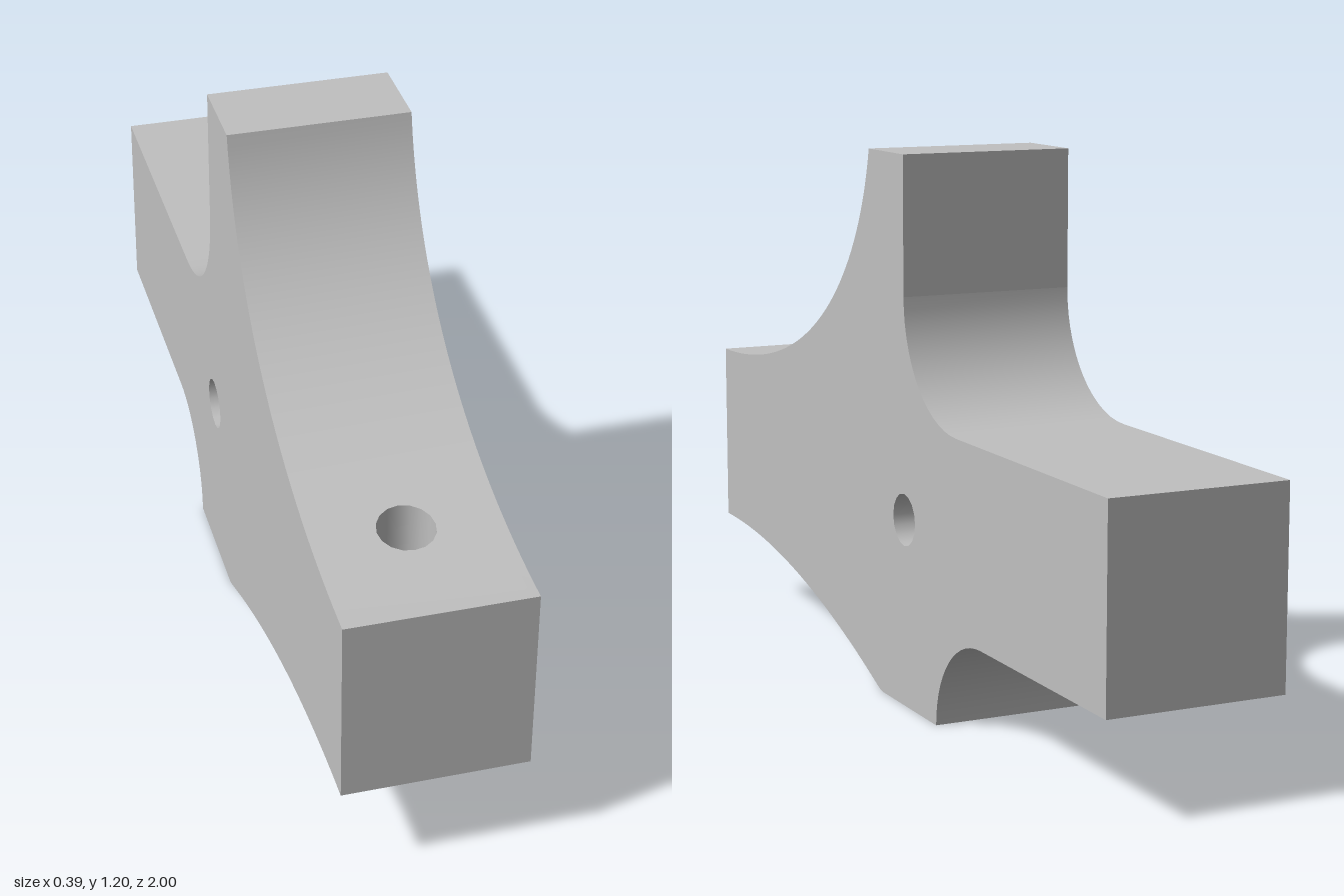
import * as THREE from 'three';

const W = 0.195;                                   // half thickness
const SIDE_HOLE = { z: -0.088, y: 0.413, r: 0.057 };
const BOLT_HOLE = { z: 0.757, r: 0.06 };
const SIDES = 16;

const v2 = (z, y) => new THREE.Vector2(z, y);
const circle = (cx, cy, r) => Array.from({ length: SIDES }, (_, i) => {
  const a = (i / SIDES) * Math.PI * 2;
  return v2(cx + r * Math.cos(a), cy + r * Math.sin(a));
});
const arc = (cz, cy, rz, ry, a0, a1) => Array.from({ length: 15 }, (_, i) => {
  const a = THREE.MathUtils.degToRad(a0 + ((a1 - a0) * i) / 14);
  return v2(cz + rz * Math.cos(a), cy + ry * Math.sin(a));
});

// Turn a surface inside out
function flip(geo) {
  const idx = geo.index.array, n = geo.attributes.normal.array;
  for (let i = 0; i < idx.length; i += 3) [idx[i], idx[i + 1]] = [idx[i + 1], idx[i]];
  for (let i = 0; i < n.length; i++) n[i] = -n[i];
  return geo;
}

// Height (and slope) of a (z, y) polyline at a given z
function sample(line, z) {
  for (let i = 0; i < line.length - 1; i++) {
    const a = line[i], b = line[i + 1];
    const t = (z - a.x) / (b.x - a.x);
    if ((t >= -1e-6 && t <= 1 + 1e-6) || i === line.length - 2)
      return { y: a.y + (b.y - a.y) * t, slope: (b.y - a.y) / (b.x - a.x) };
  }
}

// Strip spanning the thickness along one smooth run of the outline
function strip(run) {
  const geo = new THREE.PlaneGeometry(1, 1, 1, run.length - 1);
  const pos = geo.attributes.position;
  run.forEach((p, i) => {
    pos.setXYZ(2 * i, W, p.y, p.x);
    pos.setXYZ(2 * i + 1, -W, p.y, p.x);
  });
  geo.computeVertexNormals();
  return geo;
}

// Curved panel pierced by the bolt hole, following a (z, y) polyline
function piercedPanel(line) {
  const outline = [...line.map(p => v2(W, -p.x)), ...line.map(p => v2(-W, -p.x)).reverse()];
  const shape = new THREE.Shape(outline);
  shape.holes.push(new THREE.Path(circle(0, -BOLT_HOLE.z, BOLT_HOLE.r)));
  const geo = new THREE.ShapeGeometry(shape);
  const pos = geo.attributes.position, nor = geo.attributes.normal;
  for (let i = 0; i < pos.count; i++) {
    const z = -pos.getY(i), s = sample(line, z);
    const n = new THREE.Vector3(0, 1, -s.slope).normalize();
    pos.setXYZ(i, pos.getX(i), s.y, z);
    nor.setXYZ(i, n.x, n.y, n.z);
  }
  return geo;
}

export function createModel() {
  const group = new THREE.Group();
  const grey = new THREE.MeshStandardMaterial({ color: 0xc0c0c0 });
  grey.name = 'plain grey';
  const add = (name, geo) => {
    const mesh = new THREE.Mesh(geo, grey);
    mesh.name = name;
    group.add(mesh);
    return mesh;
  };

  // Large sweeping curves above and below the front arm, both from z = 1 inward
  const topCurve = new THREE.CubicBezierCurve(
    v2(1, 0.634), v2(0.5, 0.634), v2(0.16, 0.855), v2(0.09, 1.195)).getPoints(40);
  const underCurve = new THREE.QuadraticBezierCurve(
    v2(1, 0.215), v2(0.55, 0.215), v2(0.06, 0.008)).getPoints(30);
  const topSplit = topCurve.findIndex(p => p.x < 0.67);
  const underSplit = underCurve.findIndex(p => p.x < 0.67);
  const topPanel = topCurve.slice(0, topSplit + 1);
  const underPanel = underCurve.slice(0, underSplit + 1);

  // Outline runs, anticlockwise in (z, y)
  const runs = [
    ['frontEnd', [v2(1, 0.215), v2(1, 0.634)]],
    ['frontArmTop', topPanel, true],
    ['frontSweep', topCurve.slice(topSplit)],
    ['postTop', [v2(0.09, 1.195), v2(-0.09, 1.195)]],
    ['postBack', [v2(-0.09, 1.195), v2(-0.09, 0.894)]],
    ['backFillet', arc(-0.35, 0.894, 0.26, 0.26, 0, -90)],
    ['backArmTop', [v2(-0.35, 0.634), v2(-1, 0.634)]],
    ['backEnd', [v2(-1, 0.634), v2(-1, 0.215)]],
    ['backArmUnderside', [v2(-1, 0.215), v2(-0.465, 0.215)]],
    ['underFillet', arc(-0.465, 0, 0.215, 0.215, 90, 0)],
    ['foot', [v2(-0.25, 0), v2(0.025, 0)]],
    ['footCorner', [v2(0.025, 0), v2(0.043, 0.002), v2(0.06, 0.008)]],
    ['underSweep', underCurve.slice(underSplit).reverse()],
    ['frontArmUnderside', underPanel.slice().reverse(), true],
  ];
  for (const [name, run, pierced] of runs) if (!pierced) add(name, strip(run));
  add('frontArmTop', piercedPanel(topPanel));
  add('frontArmUnderside', flip(piercedPanel(underPanel)));

  // Flat side faces with the cross hole
  const outline = runs.flatMap(([, run]) => run.slice(0, -1));
  const makeSide = () => {
    const shape = new THREE.Shape(outline);
    shape.holes.push(new THREE.Path(circle(SIDE_HOLE.z, SIDE_HOLE.y, SIDE_HOLE.r)));
    return new THREE.ShapeGeometry(shape).rotateY(-Math.PI / 2);
  };
  add('rightSide', makeSide().translate(-W, 0, 0));
  add('leftSide', flip(makeSide()).translate(W, 0, 0));

  // Cross hole wall
  const cross = new THREE.CylinderGeometry(SIDE_HOLE.r, SIDE_HOLE.r, 2 * W, SIDES, 1, true);
  add('crossHole', flip(cross.rotateZ(Math.PI / 2))).position.set(0, SIDE_HOLE.y, SIDE_HOLE.z);

  // Vertical bolt hole wall, trimmed to the curved panels
  const bolt = new THREE.CylinderGeometry(BOLT_HOLE.r, BOLT_HOLE.r, 1, SIDES, 1, true);
  bolt.translate(0, 0, BOLT_HOLE.z);
  const pos = bolt.attributes.position;
  for (let i = 0; i < pos.count; i++)
    pos.setY(i, sample(pos.getY(i) > 0 ? topPanel : underPanel, pos.getZ(i)).y);
  add('boltHole', flip(bolt));

  return group;
}
